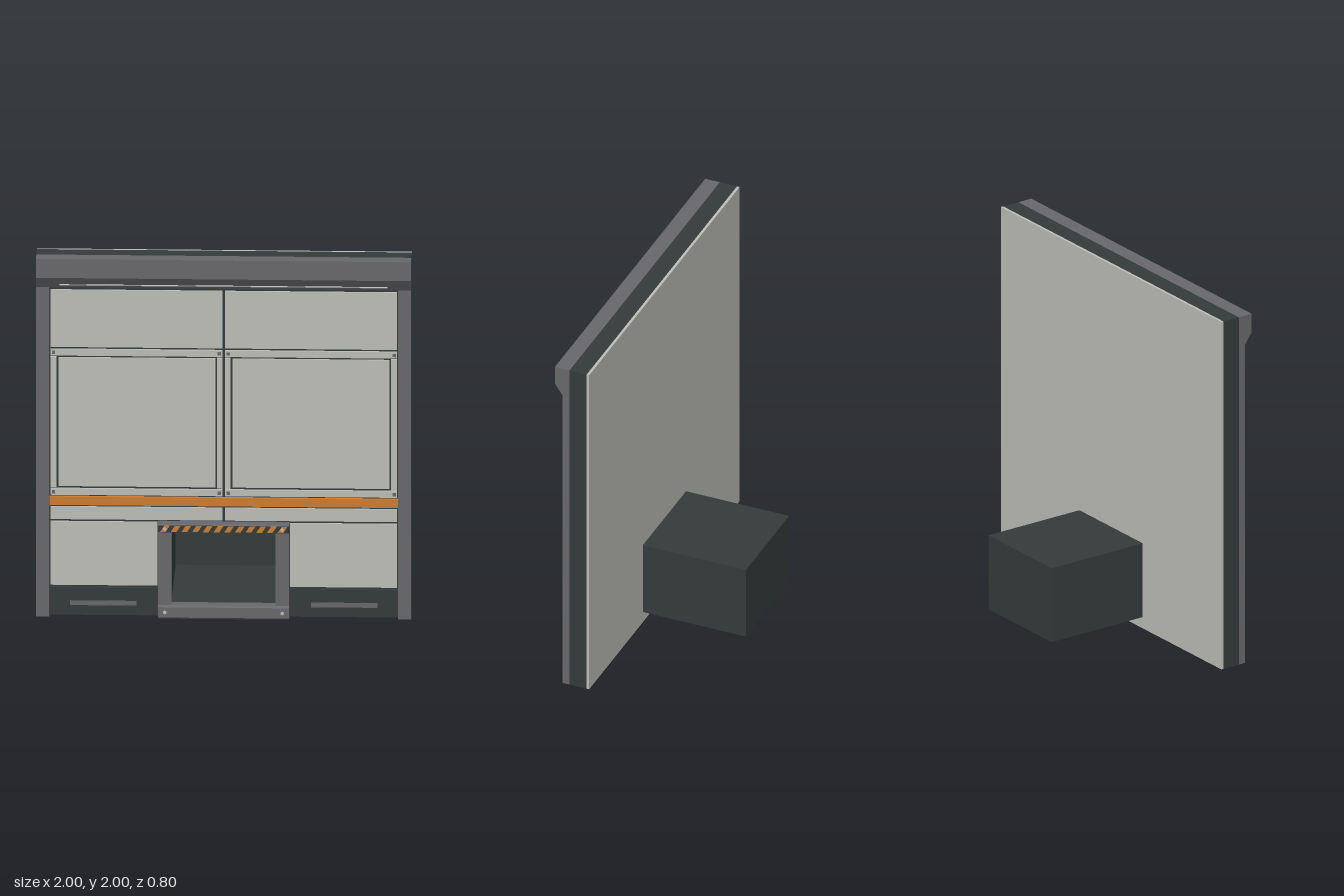
import * as THREE from 'three';

const mat = (name, color, extra = {}) => {
  const m = new THREE.MeshStandardMaterial({ color, ...extra });
  m.name = name;
  return m;
};

export function createModel() {
  const root = new THREE.Group();
  root.name = 'wallUnit';
  const panel = mat('pale panel', 0xbdbdb8);
  const dark = mat('dark metal', 0x343b3b);
  const frame = mat('grey frame', 0x68686c);
  const orange = mat('orange paint', 0xcc7c30);
  const light = mat('white light', 0xf0f0ee);

  const add = (name, geo, m, parent = root) => {
    const mesh = new THREE.Mesh(geo, m);
    mesh.name = name;
    parent.add(mesh);
    return mesh;
  };
  // Box given by its limits on each axis
  const box = (name, m, x0, x1, y0, y1, z0, z1, parent = root) => {
    const b = add(name, new THREE.BoxGeometry(x1 - x0, y1 - y0, z1 - z0), m, parent);
    b.position.set((x0 + x1) / 2, (y0 + y1) / 2, (z0 + z1) / 2);
    return b;
  };
  // The same box on both sides of x = 0
  const pair = (name, m, x0, x1, ...rest) => {
    box(name + 'Left', m, x0, x1, ...rest);
    box(name + 'Right', m, -x1, -x0, ...rest);
  };
  // Side profile of [z, y] points swept along x
  const sweep = (name, m, pts, halfWidth) => {
    const s = new THREE.Shape(pts.map(([z, y]) => new THREE.Vector2(-z, y)));
    const g = new THREE.ExtrudeGeometry(s, { depth: 2 * halfWidth, bevelEnabled: false });
    g.translate(0, 0, -halfWidth).rotateY(Math.PI / 2);
    return add(name, g, m);
  };
  const rect = (S, x0, x1, y0, y1) => {
    const s = new S();
    s.moveTo(x0, y0);
    s.lineTo(x1, y0);
    s.lineTo(x1, y1);
    s.lineTo(x0, y1);
    s.closePath();
    return s;
  };
  const D = { x: 0.287, y0: 0.065, y1: 0.49 }; // chute outline
  const pierced = (name, m, z0, z1) => {
    const s = rect(THREE.Shape, -1, 1, 0, 2);
    s.holes.push(rect(THREE.Path, -D.x, D.x, D.y0, D.y1));
    const g = new THREE.ExtrudeGeometry(s, { depth: z1 - z0, bevelEnabled: false });
    add(name, g, m).position.z = z0;
  };

  // Wall slab and backing sheet, both cut for the chute
  pierced('backSheet', panel, 0.2, 0.215);
  pierced('wallCore', dark, 0.215, 0.315);

  // Hollow chute running out of the back
  const t = 0.007;
  box('chuteBack', dark, -D.x, D.x, D.y0, D.y1, -0.4, -0.4 + t);
  pair('chuteSide', dark, D.x - t, D.x, D.y0, D.y1, -0.4 + t, 0.315);
  box('chuteFloor', dark, -D.x + t, D.x - t, D.y0, D.y0 + t, -0.4 + t, 0.315);
  box('chuteRoof', dark, -D.x + t, D.x - t, D.y1 - t, D.y1, -0.4 + t, 0.315);

  // Side posts and overhanging header with its light strip
  pair('post', frame, 0.93, 1, 0, 1.83, 0.315, 0.355);
  sweep('header', frame, [[0.315, 2], [0.4, 2], [0.4, 1.895], [0.355, 1.83], [0.315, 1.83]], 1);
  sweep('lightStrip', light, [[0.363, 1.846], [0.368, 1.853], [0.373, 1.851], [0.368, 1.844]], 0.875);
  box('headerShadowGap', dark, -0.93, 0.93, 1.815, 1.83, 0.315, 0.325);

  // Wall cladding, with dark gaps left between the panels
  const z = 0.315;
  pair('upperPanel', panel, 0.007, 0.924, 1.49, 1.808, z, 0.327);
  pair('windowPanel', panel, 0.045, 0.882, 0.717, 1.432, z, 0.327);
  pair('innerStile', panel, 0.007, 0.036, 0.712, 1.437, z, 0.333);
  pair('outerStile', panel, 0.892, 0.924, 0.712, 1.437, z, 0.333);
  pair('topRail', panel, 0.007, 0.924, 1.444, 1.479, z, 0.333);
  pair('bottomRail', panel, 0.007, 0.924, 0.67, 0.705, z, 0.333);
  box('orangeBand', orange, -0.93, 0.93, 0.615, 0.661, z, 0.338);
  pair('narrowPanel', panel, 0.007, 0.924, 0.533, 0.603, z, 0.327);
  pair('lowerPanel', panel, 0.353, 0.924, 0.168, 0.521, z, 0.327);
  pair('kickPanel', dark, 0.35, 0.93, 0.006, 0.157, z, 0.338);
  pair('kickSlot', frame, 0.465, 0.82, 0.06, 0.086, 0.338, 0.341);
  for (const y of [1.462, 0.688])
    for (const x of [0.024, 0.908])
      pair('railBolt', frame, x - 0.009, x + 0.009, y - 0.009, y + 0.009, 0.333, 0.337);

  // Hatch surround: legs and bevelled top and bottom bars
  pair('hatchLeg', frame, 0.278, 0.35, 0.07, 0.483, z, 0.376);
  const bar = (name, y0, y1) => sweep(name, frame,
    [[z, y0], [0.376, y0], [0.386, y0 + 0.009], [0.386, y1 - 0.009], [0.376, y1], [z, y1]], 0.35);
  bar('hatchTopBar', 0.48, 0.526);
  bar('hatchBottomBar', 0, 0.075);

  // Hazard stripes on the top bar
  box('hazardPlate', dark, -0.348, 0.348, 0.485, 0.521, 0.384, 0.388);
  const slant = 0.022, w = 0.03;
  for (let i = 0; i < 12; i++) {
    const x = -0.338 + i * 0.057;
    const s = new THREE.Shape();
    s.moveTo(x, 0.486);
    s.lineTo(x + w, 0.486);
    s.lineTo(Math.min(x + w + slant, 0.347), 0.52);
    s.lineTo(x + slant, 0.52);
    s.closePath();
    add('hazardStripe', new THREE.ExtrudeGeometry(s, { depth: 0.002, bevelEnabled: false }), orange)
      .position.z = 0.388;
  }

  // Pale bolts at the hatch corners
  for (const [y, zf] of [[0.503, 0.39], [0.038, 0.386]])
    for (const x of [-0.313, 0.313]) {
      const g = new THREE.CylinderGeometry(0.01, 0.01, 0.003, 8).rotateX(Math.PI / 2);
      add('hatchBolt', g, panel).position.set(x, y, zf + 0.0015);
    }

  return root;
}
